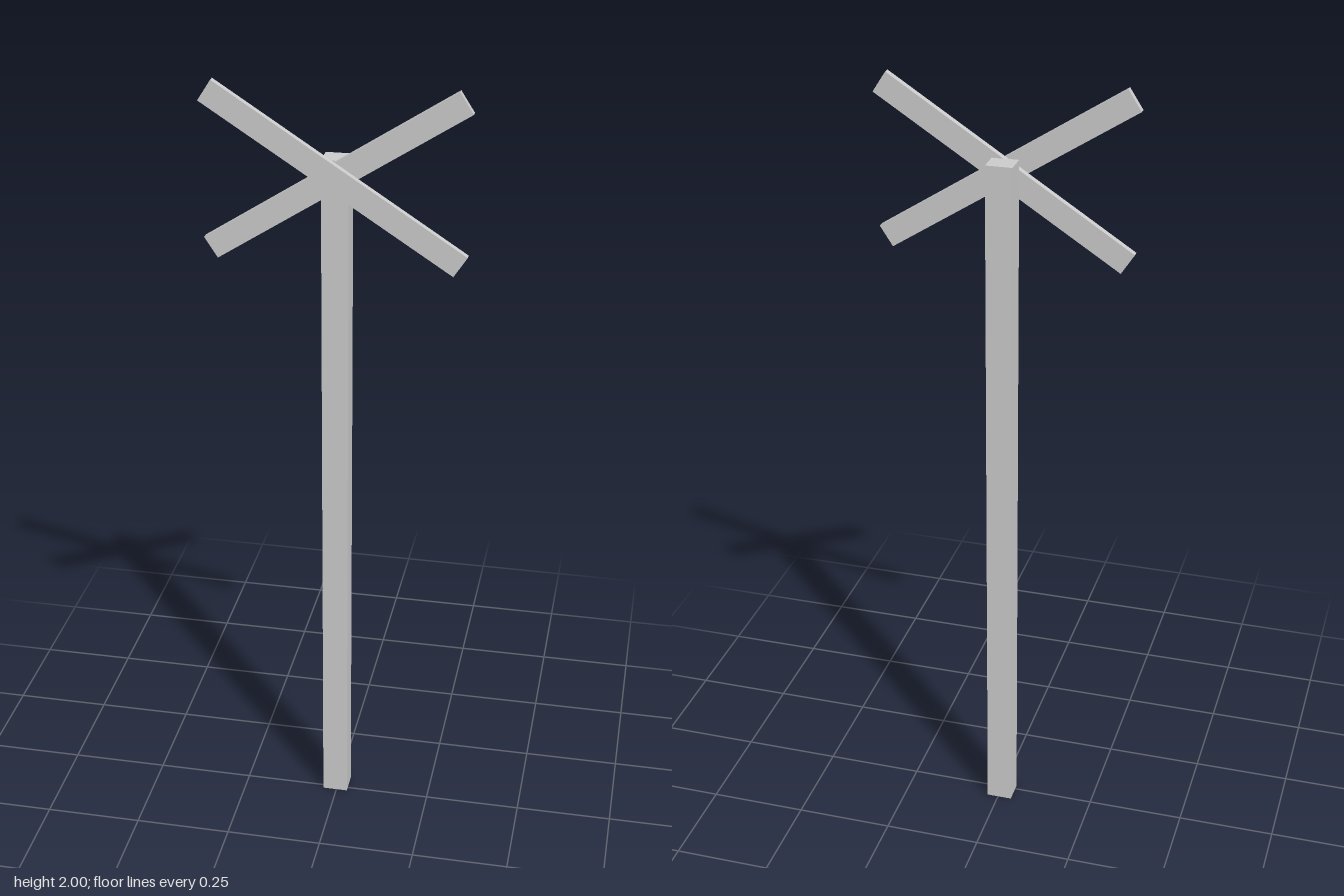
import * as THREE from 'three';

export function createModel() {
  const group = new THREE.Group();
  const material = new THREE.MeshStandardMaterial({ color: 0xcccccc, flatShading: true });

  function addBeam(name, size, position, tilt = 0) {
    const mesh = new THREE.Mesh(new THREE.BoxGeometry(...size), material);
    mesh.name = name;
    mesh.position.set(...position);
    mesh.rotation.z = tilt;
    group.add(mesh);
  }

  // Upright square post
  addBeam('post', [0.066, 1.815, 0.059], [-0.0035, 0.9075, -0.016]);

  // Two crossed boards, one in front of the other
  const tilt = THREE.MathUtils.degToRad(32.8);
  const board = [0.72, 0.06, 0.017];
  addBeam('frontBoard', board, [-0.001, 1.78, 0.0365], -tilt);
  addBeam('backBoard', board, [0, 1.779, 0.0195], tilt);

  return group;
}
